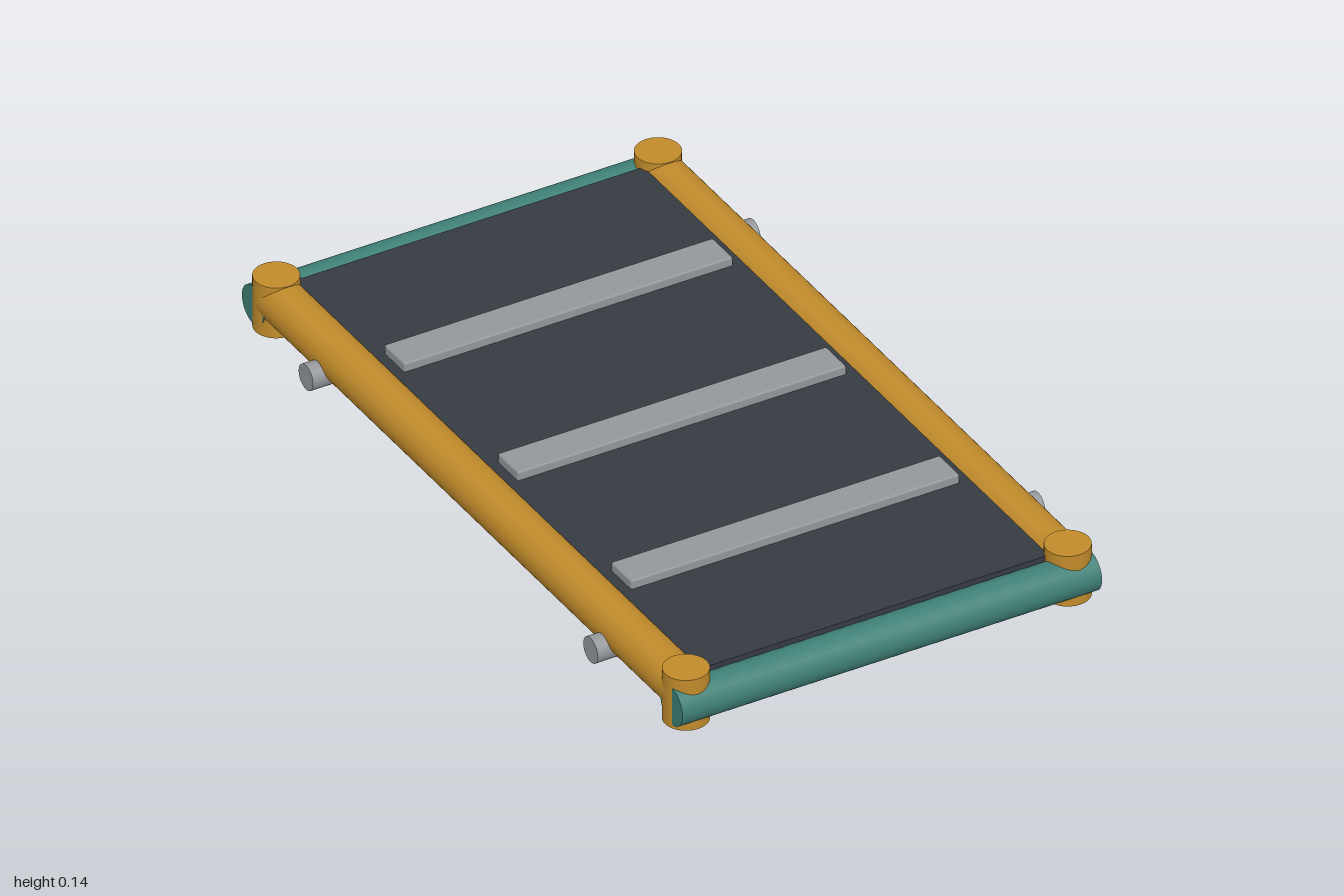
import * as THREE from 'three';
import { RoundedBoxGeometry } from 'three/addons/geometries/RoundedBoxGeometry.js';

const paint = (name, color) => {
  const m = new THREE.MeshStandardMaterial({ color });
  m.name = name;
  return m;
};

export function createModel() {
  const ochre = paint('ochre', 0xc18b2b);
  const teal = paint('teal', 0x3f8077);
  const charcoal = paint('charcoal', 0x363b43);
  const grey = paint('grey', 0x94989b);

  const model = new THREE.Group();
  model.name = 'slattedPlatform';

  const add = (name, geometry, material, x, y, z) => {
    const mesh = new THREE.Mesh(geometry, material);
    mesh.name = name;
    mesh.position.set(x, y, z);
    model.add(mesh);
  };

  // Cylinders laid along each axis
  const tube = (r, length) => new THREE.CylinderGeometry(r, r, length, 32);
  const postGeo = tube(0.055, 0.138);
  const railGeo = tube(0.056, 1.86).rotateX(Math.PI / 2);
  const barGeo = tube(0.05, 1.11).rotateZ(Math.PI / 2);
  const pegGeo = tube(0.033, 0.09).rotateZ(Math.PI / 2);

  // Deck panel between the rails
  add('deck', new THREE.BoxGeometry(1.0, 0.085, 1.84), charcoal, 0, 0.0725, 0);

  // Raised cross strips
  const slatGeo = new RoundedBoxGeometry(0.87, 0.032, 0.093, 1, 0.005);
  for (const z of [-0.515, 0, 0.515]) add('crossStrip', slatGeo, grey, 0, 0.122, z);

  for (const s of [1, -1]) {
    add(s > 0 ? 'leftRail' : 'rightRail', railGeo, ochre, s * 0.505, 0.081, 0);
    add(s > 0 ? 'frontBar' : 'backBar', barGeo, teal, 0, 0.061, s * 0.95);
    // Corner posts and side pegs
    for (const t of [1, -1]) {
      add('cornerPost', postGeo, ochre, s * 0.505, 0.07, t * 0.93);
      add('sidePeg', pegGeo, grey, s * 0.547, 0.051, t * 0.646);
    }
  }
  // Rest the posts on the ground
  model.children.forEach((m) => { m.position.y -= 0.001; });
  return model;
}
